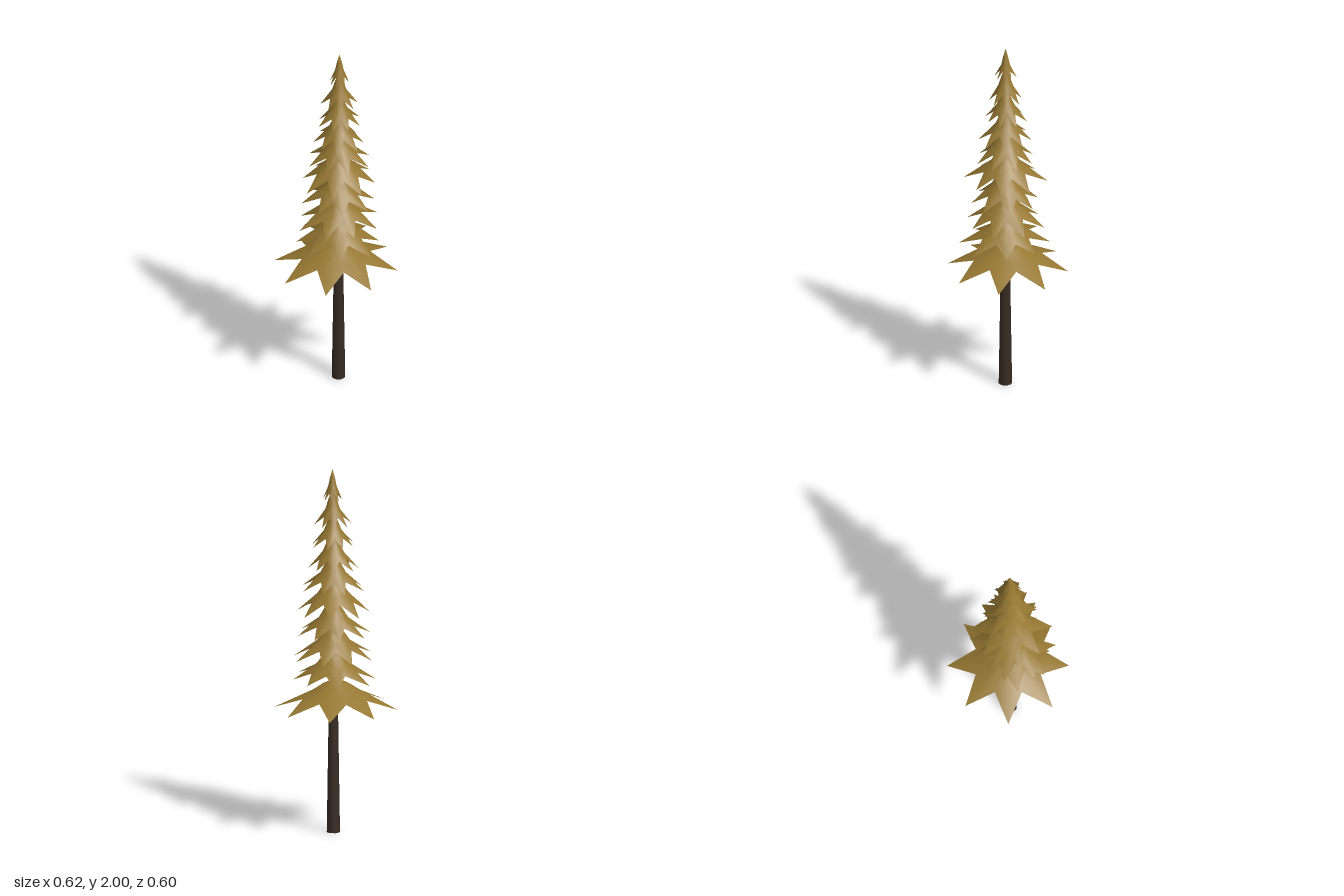
import * as THREE from 'three';

const TIPS = 8;

// Star-edged bell: a domed crown that flares into drooping points
function starSkirt(radius, tipY, height, droop, turn, jitter) {
  const positions = [0, height + tipY, 0];
  const index = [];
  const n = TIPS * 2;
  const valleyY = tipY + droop;
  const apexY = tipY + height;
  const rings = [
    { r: 0.24, y: apexY - (apexY - valleyY) * 0.38 },
    { r: 0.42, y: apexY - (apexY - valleyY) * 0.75 },
  ];
  for (let k = 0; k < 3; k++) {
    for (let i = 0; i < n; i++) {
      const a = turn + (i / n) * Math.PI * 2;
      const isTip = i % 2 === 0;
      const wobble = isTip ? Math.sin(i * 2.3 + tipY * 20) * jitter : 0;
      const r = radius * (k < 2 ? rings[k].r : isTip ? 1 + wobble : 0.57);
      const y = k < 2 ? rings[k].y : isTip ? tipY + Math.abs(wobble) * 0.1 : valleyY;
      positions.push(Math.cos(a) * r, y, Math.sin(a) * r);
    }
  }
  for (let i = 0; i < n; i++) {
    const j = (i + 1) % n;
    index.push(0, 1 + j, 1 + i);
    for (let k = 0; k < 2; k++) {
      const a = 1 + k * n + i, b = 1 + k * n + j;
      // split each quad so the crease always meets the tip
      if (i % 2 === 0) index.push(a, b, a + n, b, b + n, a + n);
      else index.push(a, b, b + n, a, b + n, a + n);
    }
  }
  const geo = new THREE.BufferGeometry();
  geo.setAttribute('position', new THREE.Float32BufferAttribute(positions, 3));
  geo.setIndex(index);
  geo.computeVertexNormals();
  return geo;
}

export function createModel() {
  const tree = new THREE.Group();
  tree.name = 'conifer';

  const needles = new THREE.MeshStandardMaterial({ color: 0x967832, side: THREE.DoubleSide });
  needles.name = 'golden needles';
  const bark = new THREE.MeshStandardMaterial({ color: 0x382c23 });
  bark.name = 'dark bark';

  // Tapered trunk running up through the skirts
  const trunk = new THREE.Mesh(new THREE.CylinderGeometry(0.006, 0.037, 1.92, 8), bark);
  trunk.name = 'trunk';
  trunk.position.set(0.013, 0.96, 0.018);
  tree.add(trunk);

  // Branch tiers, bottom to top: radius, tip height, height, droop, turn in degrees
  const tiers = [
    [0.33, 0.68, 0.175, 0.065, 22.5],
    [0.235, 0.835, 0.19, 0.05, 12],
    [0.215, 0.955, 0.21, 0.06, 32],
    [0.19, 1.085, 0.21, 0.055, 5],
    [0.21, 1.21, 0.21, 0.065, 20],
    [0.163, 1.335, 0.21, 0.055, 38],
    [0.14, 1.45, 0.2, 0.055, 15],
    [0.115, 1.575, 0.19, 0.05, 30],
    [0.095, 1.69, 0.2, 0.05, 8],
    [0.056, 1.825, 0.175, 0.045, 25],
  ];
  tiers.forEach(([radius, tipY, height, droop, turn], i) => {
    const geo = starSkirt(radius, tipY, height, droop, THREE.MathUtils.degToRad(turn), i ? 0.08 : 0.02);
    const mesh = new THREE.Mesh(geo, needles);
    mesh.name = `branchTier${i + 1}`;
    const lean = i / (tiers.length - 1);
    mesh.position.set(i ? 0.01 + 0.008 * lean : 0.002, 0, i ? 0.018 : 0.002);
    tree.add(mesh);
  });

  return tree;
}
